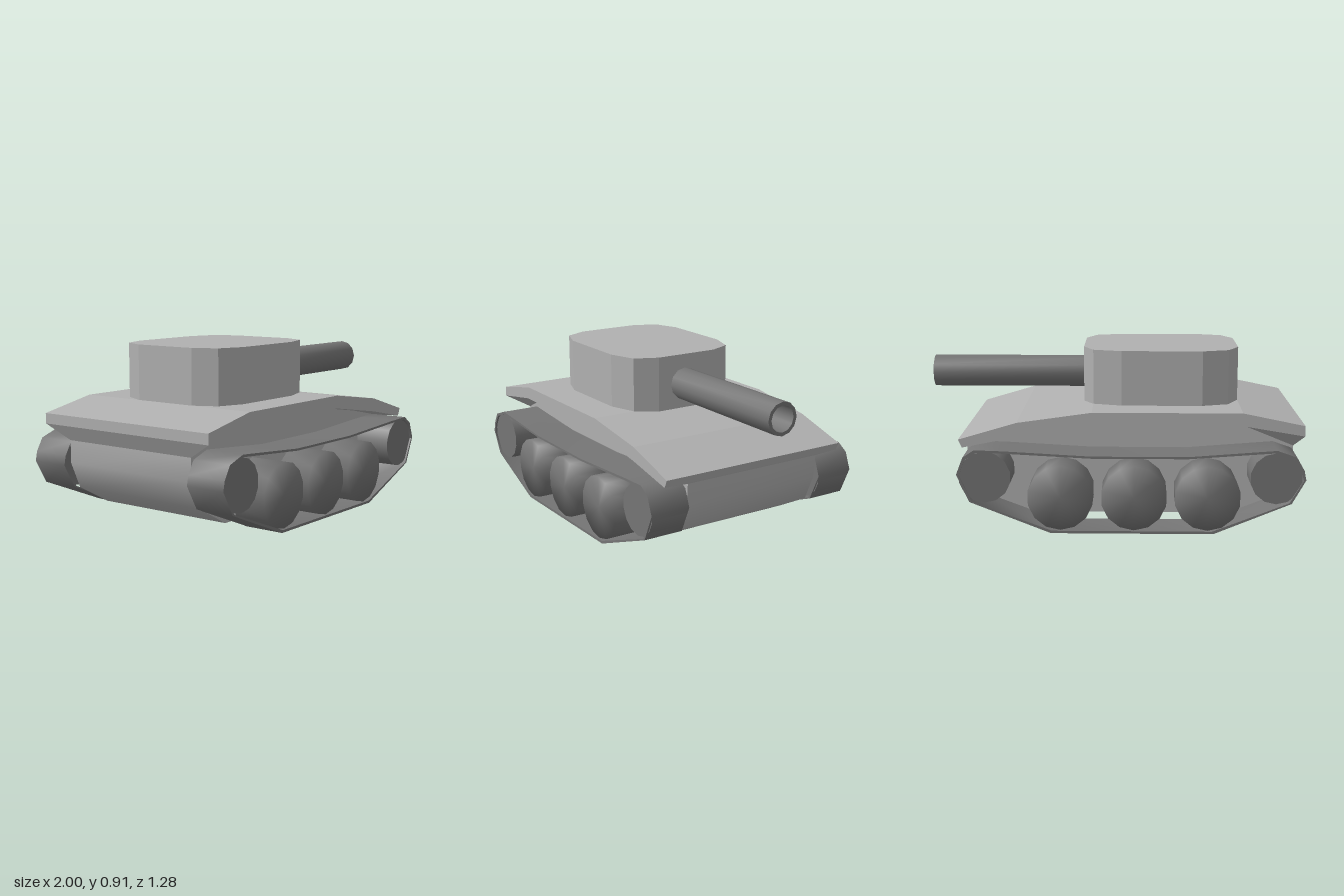
import * as THREE from 'three';
import { mergeVertices, toCreasedNormals } from 'three/addons/utils/BufferGeometryUtils.js';

const light = new THREE.MeshStandardMaterial({ color: 0xb0b0b0 });
light.name = 'light grey';
const dark = new THREE.MeshStandardMaterial({ color: 0x757575 });
dark.name = 'dark grey';

const vec = (pts) => pts.map(([x, y]) => new THREE.Vector2(x, y));

function add(parent, name, geometry, material) {
  const mesh = new THREE.Mesh(geometry, material);
  mesh.name = name;
  parent.add(mesh);
  return mesh;
}

// Side profile (x, y) extruded from z0 to z1
function slab(points, z0, z1, crease, hole) {
  const shape = new THREE.Shape(vec(points));
  if (hole) shape.holes.push(new THREE.Path(vec(hole)));
  const g = new THREE.ExtrudeGeometry(shape, { depth: z1 - z0, bevelEnabled: false });
  g.translate(0, 0, z0);
  return toCreasedNormals(g, crease);
}

// Deck: stations along x, each a ring through top edge, lip and inner underside
function deckGeometry() {
  const stations = [
    [-1, 0.555, -1, 0.5, -0.96, 0.42],
    [-0.68, 0.62, -0.7, 0.55, -0.7, 0.543],
    [0.1, 0.62, 0.1, 0.55, 0.1, 0.543],
    [0.49, 0.565, 0.49, 0.49, 0.49, 0.483],
    [0.795, 0.475, 0.775, 0.433, 0.77, 0.425],
  ];
  const rings = stations.map(([tx, ty, lx, ly, ix, iy]) => [
    [tx, ty, 0.55], [lx, ly, 0.55], [ix, iy, 0.41],
    [ix, iy, -0.41], [lx, ly, -0.55], [tx, ty, -0.55],
  ]);
  const pos = [];
  const quad = (a, b, c, d) => pos.push(...a, ...b, ...c, ...a, ...c, ...d);
  for (let i = 0; i < rings.length - 1; i++) {
    for (let j = 0; j < 6; j++) {
      const k = (j + 1) % 6;
      quad(rings[i][j], rings[i][k], rings[i + 1][k], rings[i + 1][j]);
    }
  }
  const r = rings[0], f = rings[rings.length - 1];
  quad(r[0], r[5], r[4], r[1]);
  quad(r[1], r[4], r[3], r[2]);
  quad(f[0], f[1], f[4], f[5]);
  quad(f[1], f[2], f[3], f[4]);
  const g = new THREE.BufferGeometry();
  g.setAttribute('position', new THREE.Float32BufferAttribute(pos, 3));
  g.computeVertexNormals();
  return g;
}

// Wheel with normals blended over the rim for a soft, domed look
function softWheel(radius, width) {
  let g = new THREE.CylinderGeometry(radius, radius, width, 14);
  g.deleteAttribute('normal');
  g.deleteAttribute('uv');
  g = mergeVertices(g);
  g.computeVertexNormals();
  return g.rotateX(Math.PI / 2);
}

export function createModel() {
  const tank = new THREE.Group();
  tank.name = 'tank';

  // Hull between the tracks, and the deck that overhangs them
  const hull = [
    [-0.96, 0.42], [-0.96, 0.3], [-0.9, 0.16], [-0.7, 0.05], [0.49, 0.05], [0.7, 0.16],
    [0.76, 0.3], [0.77, 0.425], [0.49, 0.483], [0.1, 0.543], [-0.7, 0.543],
  ];
  add(tank, 'hull', slab(hull, -0.41, 0.41, 0.7), light);
  add(tank, 'deck', deckGeometry(), light);

  // Turret: plan outline (x, z) raised upright
  const half = [
    [-0.68, 0.18], [-0.62, 0.305], [-0.48, 0.355],
    [-0.05, 0.355], [0.1, 0.305], [0.155, 0.18],
  ];
  const outline = [...half, ...half.map(([x, z]) => [x, -z]).reverse()];
  const turret = slab(outline, 0, 0.3, 0.1);
  turret.rotateX(-Math.PI / 2).translate(0, 0.612, 0);
  add(tank, 'turret', turret, light);

  // Hollow gun barrel
  const barrel = new THREE.LatheGeometry(vec([
    [0, 0], [0.088, 0], [0.088, 0.85], [0.069, 0.85], [0.069, 0.03], [0, 0.03],
  ]), 12);
  const gun = add(tank, 'gunBarrel', toCreasedNormals(barrel, 0.6), dark);
  gun.rotation.z = -Math.PI / 2;
  gun.position.set(0.15, 0.748, 0.013);

  // Track belts and road wheels on both sides
  const belt = [
    [-0.95, 0.41], [-0.99, 0.34], [-1, 0.29], [-0.93, 0.165], [-0.53, 0], [0.31, 0],
    [0.73, 0.165], [0.795, 0.31], [0.76, 0.4], [0.7, 0.44], [0.55, 0.435], [0.1, 0.41],
    [-0.4, 0.41], [-0.85, 0.445],
  ];
  const inner = belt.map(([x, y]) => [-0.1 + (x + 0.1) * 0.986, 0.22 + (y - 0.22) * 0.94]);
  const beltGeometry = slab(belt, -0.11, 0.11, 0.8, inner);
  const roadWheel = softWheel(0.171, 0.2);
  const endWheel = new THREE.CylinderGeometry(0.135, 0.135, 0.2, 14).rotateX(Math.PI / 2);

  for (const [side, z] of [['left', 0.528], ['right', -0.528]]) {
    const track = new THREE.Group();
    track.name = side + 'Track';
    track.position.z = z;
    tank.add(track);
    add(track, 'trackBelt', beltGeometry, dark);
    for (const x of [-0.5, -0.12, 0.262]) {
      add(track, 'roadWheel', roadWheel, dark).position.set(x, 0.186, 0);
    }
    for (const x of [-0.85, 0.65]) {
      add(track, 'endWheel', endWheel, dark).position.set(x, 0.295, 0);
    }
  }
  return tank;
}
